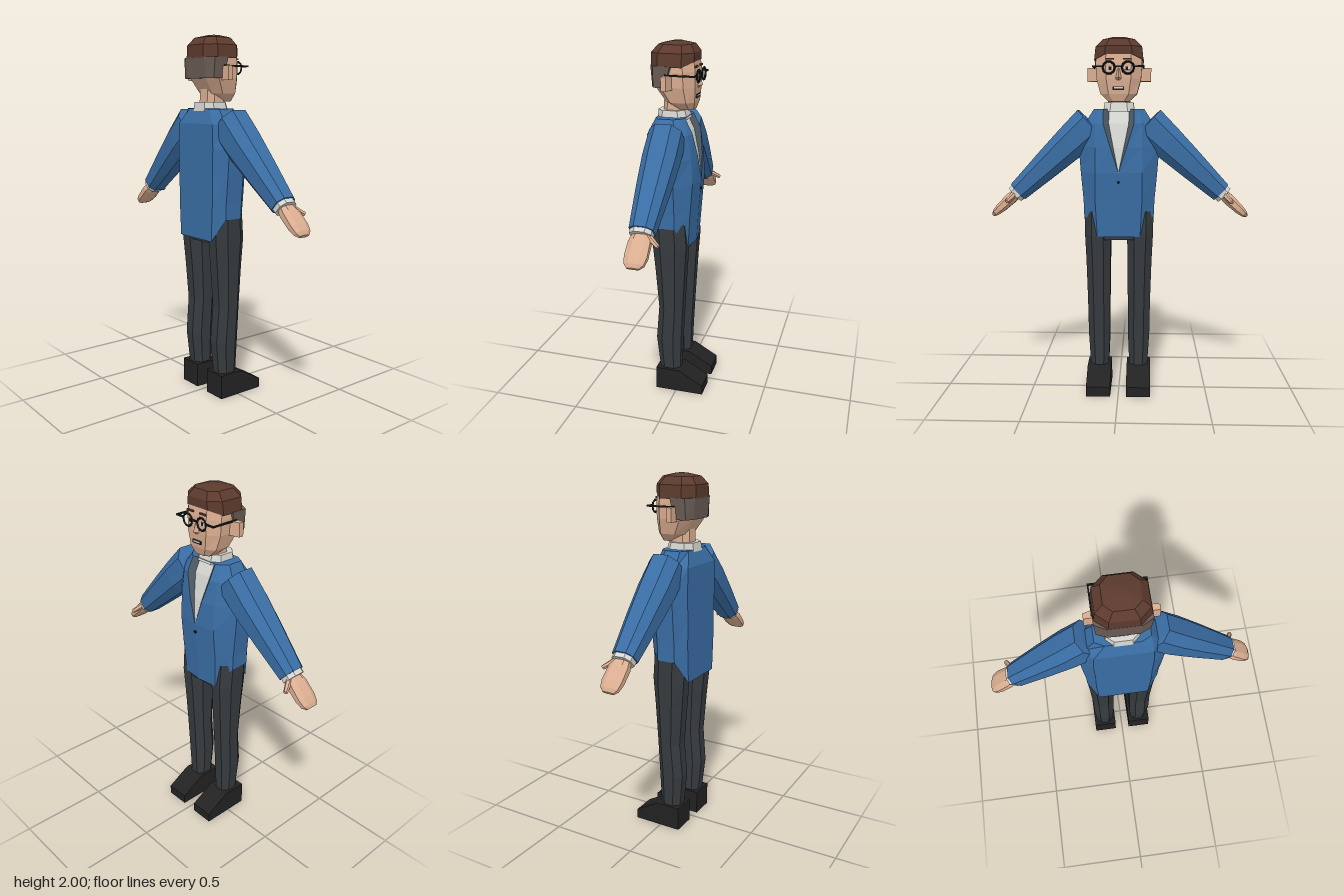
import * as THREE from 'three';

const mat = (name, color) => {
  const m = new THREE.MeshStandardMaterial({ color, flatShading: true, side: THREE.DoubleSide });
  m.name = name;
  return m;
};

// Skin through rows of points; closed rows wrap round and get caps at both ends.
function loft(rows, closed = true) {
  const tris = [], n = rows[0].length;
  for (let i = 0; i < rows.length - 1; i++) {
    for (let j = 0; j < (closed ? n : n - 1); j++) {
      const k = (j + 1) % n;
      const a = rows[i][j], b = rows[i][k], c = rows[i + 1][k], d = rows[i + 1][j];
      tris.push([a, b, c], [a, c, d]);
    }
  }
  if (closed) {
    const last = rows[rows.length - 1];
    for (let j = 1; j < n - 1; j++) {
      tris.push([rows[0][0], rows[0][j + 1], rows[0][j]], [last[0], last[j], last[j + 1]]);
    }
  }
  // Turn the faces outward from the middle
  const mid = new THREE.Vector3(), all = rows.flat();
  all.forEach(p => mid.add(new THREE.Vector3(...p)));
  mid.divideScalar(all.length);
  const v = p => new THREE.Vector3(...p).sub(mid);
  let volume = 0;
  for (const [a, b, c] of tris) volume += v(a).dot(v(b).cross(v(c)));
  if (volume < 0) tris.forEach(t => t.reverse());
  const g = new THREE.BufferGeometry();
  g.setAttribute('position', new THREE.Float32BufferAttribute(tris.flat(2), 3));
  g.computeVertexNormals();
  return g;
}

// Unit chamfered square
const oct = k => [[k, 1], [1, k], [1, -k], [k, -1], [-k, -1], [-1, -k], [-1, k], [-k, 1]];

// Upright solid from levels [y, centre x, half width, front z, back z]
const upright = (levels, k = 0.55) => loft(levels.map(([y, cx, hw, zf, zb]) =>
  oct(k).map(([u, w]) => [cx + u * hw, y, (zf + zb) / 2 + w * (zb - zf) / 2])));

// Solid along the arm line from stations [distance, half thickness, half depth, z]
const A = [0.2, 1.49], D = [0.736, -0.677];
const alongArm = (stations, k = 0.5) => loft(stations.map(([t, h, d, z]) =>
  oct(k).map(([u, w]) => [A[0] + D[0] * t - D[1] * u * h, A[1] + D[1] * t + D[0] * u * h, z + w * d])));

export function createModel() {
  const root = new THREE.Group();
  const M = {
    jacket: mat('jacket blue', 0x3a6ea5), lapel: mat('lapel slate', 0x4c5964),
    shirt: mat('shirt white', 0xd6d6d2), trousers: mat('trouser charcoal', 0x363b3f),
    shoe: mat('shoe black', 0x222222), skin: mat('skin', 0xdbae91),
    hair: mat('hair brown', 0x5c3a2d), shortHair: mat('short hair grey brown', 0x6b5c55),
    frame: mat('frame black', 0x16191d),
  };
  const add = (name, geo, m, x = 0, y = 0, z = 0) => {
    const mesh = new THREE.Mesh(geo, m);
    mesh.name = name;
    mesh.position.set(x, y, z);
    root.add(mesh);
    return mesh;
  };
  const both = (name, make) => [1, -1].forEach(s => {
    const side = s > 0 ? 'left' : 'right';
    make(s, side + name);
  });
  const mirror = (geo, s) => {
    if (s > 0) return geo;
    const p = geo.attributes.position;
    for (let i = 0; i < p.count; i++) p.setX(i, -p.getX(i));
    for (let i = 0; i < p.count; i += 3) {
      const a = [p.getX(i), p.getY(i), p.getZ(i)];
      p.setXYZ(i, p.getX(i + 2), p.getY(i + 2), p.getZ(i + 2));
      p.setXYZ(i + 2, ...a);
    }
    geo.computeVertexNormals();
    return geo;
  };

  // Jacket levels: y, half width, back x, back z, front x, front z, opening x
  const levels = [
    [1.61, 0.14, 0.09, 0.13, 0.11, -0.03, 0.085],
    [1.53, 0.19, 0.15, 0.16, 0.13, -0.07, 0.085],
    [1.40, 0.225, 0.155, 0.16, 0.13, -0.09, 0.045],
    [1.26, 0.215, 0.15, 0.16, 0.13, -0.098, 0],
    [1.10, 0.2, 0.15, 0.16, 0.13, -0.085, 0],
    [0.90, 0.198, 0.14, 0.16, 0.12, -0.072, 0],
  ];
  const half = ([y, hw, bx, zb, fx, zf, lx], i) => {
    const sideY = i === 5 ? 1.02 : y;
    return [[lx, y, zf], [fx, y, zf + 0.015], [hw, sideY, i ? 0 : 0.02], [hw, sideY, 0.105], [bx, y, zb]];
  };
  const flip = p => [-p[0], p[1], p[2]];
  const rows = levels.map((l, i) => {
    const h = half(l, i);
    return [...h, ...h.map(flip).reverse()];
  });
  add('jacket', loft(rows, false), M.jacket);
  const top = rows[0];
  add('jacketShoulders', loft([top.slice(0, 5), top.slice(5).reverse()], false), M.jacket);

  // Open front with the shirt set back between the lapels
  const open = levels.slice(0, 4).map(([y, , , , , zf, lx]) =>
    ({ edge: [lx, y, zf], inner: [lx * 0.65, y, zf + lx * 0.35] }));
  both('Lapel', (s, name) => add(name, loft(open.map(o =>
    s > 0 ? [o.edge, o.inner] : [flip(o.inner), flip(o.edge)]), false), M.lapel));
  add('shirtFront', loft(open.map(o => [o.inner, flip(o.inner)]), false), M.shirt);
  add('button', new THREE.CylinderGeometry(0.008, 0.008, 0.008, 8).rotateX(Math.PI / 2), M.frame, 0, 1.21, -0.097);
  add('collar', upright([[1.595, 0, 0.088, -0.03, 0.135], [1.645, 0, 0.08, -0.015, 0.13]]), M.shirt);

  // Trousers and shoes
  add('hips', upright([[0.88, 0, 0.13, -0.05, 0.13], [0.95, 0, 0.17, -0.055, 0.14], [1.06, 0, 0.18, -0.05, 0.14]], 0.6), M.trousers);
  const shoe = new THREE.Shape([[-0.12, 0], [0.16, 0], [0.16, 0.055], [0.02, 0.135], [-0.12, 0.135]]
    .map(p => new THREE.Vector2(...p)));
  both('Leg', (s, name) => add(name, upright([
    [0.12, s * 0.112, 0.052, -0.015, 0.105],
    [0.32, s * 0.114, 0.062, -0.022, 0.125],
    [0.52, s * 0.115, 0.064, -0.032, 0.108],
    [0.75, s * 0.117, 0.069, -0.045, 0.125],
    [0.90, s * 0.12, 0.073, -0.055, 0.138],
    [1.04, s * 0.118, 0.078, -0.045, 0.14]], 0.45), M.trousers));
  both('Shoe', (s, name) => add(name, new THREE.ExtrudeGeometry(shoe, { depth: 0.136, bevelEnabled: false })
    .rotateY(Math.PI / 2), M.shoe, s * 0.113 - 0.068));

  // Arms, cuffs and hands
  both('Sleeve', (s, name) => add(name, mirror(alongArm([
    [-0.06, 0.055, 0.07, 0.045], [-0.055, 0.105, 0.088, 0.045], [0.1, 0.095, 0.09, 0.045],
    [0.28, 0.08, 0.08, 0.045], [0.51, 0.058, 0.063, 0.045]]), s), M.jacket));
  both('Cuff', (s, name) => add(name, mirror(alongArm([
    [0.48, 0.05, 0.056, 0.045], [0.535, 0.05, 0.056, 0.045]]), s), M.shirt));
  both('Hand', (s, name) => add(name, mirror(alongArm([
    [0.51, 0.026, 0.036, 0.045], [0.57, 0.032, 0.056, 0.042], [0.65, 0.027, 0.058, 0.042],
    [0.69, 0.02, 0.05, 0.043], [0.71, 0.01, 0.032, 0.045]]), s), M.skin));
  both('Thumb', (s, name) => {
    const a = new THREE.Vector3(s * 0.595, 1.135, 0.01), b = new THREE.Vector3(s * 0.628, 1.095, -0.052);
    const thumb = add(name, new THREE.CylinderGeometry(0.012, 0.018, a.distanceTo(b), 6), M.skin);
    thumb.position.copy(a).lerp(b, 0.5);
    thumb.quaternion.setFromUnitVectors(new THREE.Vector3(0, 1, 0), b.sub(a).normalize());
  });

  // Head, neck and ears
  add('neck', upright([[1.6, 0, 0.062, -0.015, 0.105], [1.74, 0, 0.06, -0.015, 0.1]]), M.skin);
  add('head', upright([
    [1.648, 0, 0.055, -0.06, 0.02], [1.69, 0, 0.1, -0.072, 0.085], [1.77, 0, 0.122, -0.078, 0.14],
    [1.85, 0, 0.127, -0.078, 0.15], [1.93, 0, 0.122, -0.068, 0.145]]), M.skin);
  add('nose', loft([
    [[0.008, 1.825, -0.074], [-0.008, 1.825, -0.074], [0, 1.825, -0.084]],
    [[0.02, 1.77, -0.072], [-0.02, 1.77, -0.072], [0, 1.778, -0.103]],
    [[0.012, 1.76, -0.072], [-0.012, 1.76, -0.072], [0, 1.765, -0.085]]]), M.skin);
  both('Ear', (s, name) => add(name, loft([
    [[s * 0.115, 1.76, 0.03], [s * 0.115, 1.835, 0.03], [s * 0.115, 1.835, 0.075], [s * 0.115, 1.76, 0.075]],
    [[s * 0.178, 1.76, 0.048], [s * 0.178, 1.835, 0.048], [s * 0.178, 1.835, 0.075], [s * 0.178, 1.76, 0.075]],
  ]), M.skin));

  // Hair: cropped sides and back under a fuller crown
  add('croppedHair', upright([[1.77, 0, 0.128, 0.045, 0.153], [1.88, 0, 0.137, 0.01, 0.16]], 0.6), M.shortHair);
  const crown = upright([
    [1.875, 0, 0.135, -0.073, 0.16], [1.945, 0, 0.127, -0.075, 0.158],
    [1.985, 0, 0.088, -0.05, 0.125], [2.0, 0, 0.03, 0.01, 0.06]]);
  const cp = crown.attributes.position;
  for (let i = 0; i < cp.count; i++) if (cp.getY(i) < 1.88 && cp.getZ(i) < -0.06) cp.setY(i, 1.9);
  crown.computeVertexNormals();
  add('crownHair', crown, M.hair);

  // Face details and spectacles
  both('Eye', (s, name) => {
    add(name + 'White', new THREE.BoxGeometry(0.034, 0.016, 0.006), M.shirt, s * 0.045, 1.825, -0.079);
    add(name + 'Pupil', new THREE.BoxGeometry(0.014, 0.016, 0.006), M.frame, s * 0.045, 1.825, -0.081);
  });
  both('Eyebrow', (s, name) => add(name, new THREE.BoxGeometry(0.045, 0.009, 0.009), M.hair, s * 0.047, 1.875, -0.079));
  add('lips', new THREE.BoxGeometry(0.062, 0.018, 0.008), M.frame, 0, 1.72, -0.076);
  add('teeth', new THREE.BoxGeometry(0.048, 0.008, 0.008), M.shirt, 0, 1.722, -0.078);
  both('Rim', (s, name) => add(name, new THREE.TorusGeometry(0.033, 0.006, 4, 10), M.frame, s * 0.052, 1.828, -0.093));
  add('bridge', new THREE.BoxGeometry(0.04, 0.008, 0.008), M.frame, 0, 1.835, -0.094);
  both('Temple', (s, name) => {
    add(name, new THREE.BoxGeometry(0.007, 0.009, 0.16), M.frame, s * 0.137, 1.835, -0.012);
    add(name + 'Hinge', new THREE.BoxGeometry(0.058, 0.009, 0.008), M.frame, s * 0.111, 1.835, -0.092);
  });
  return root;
}
